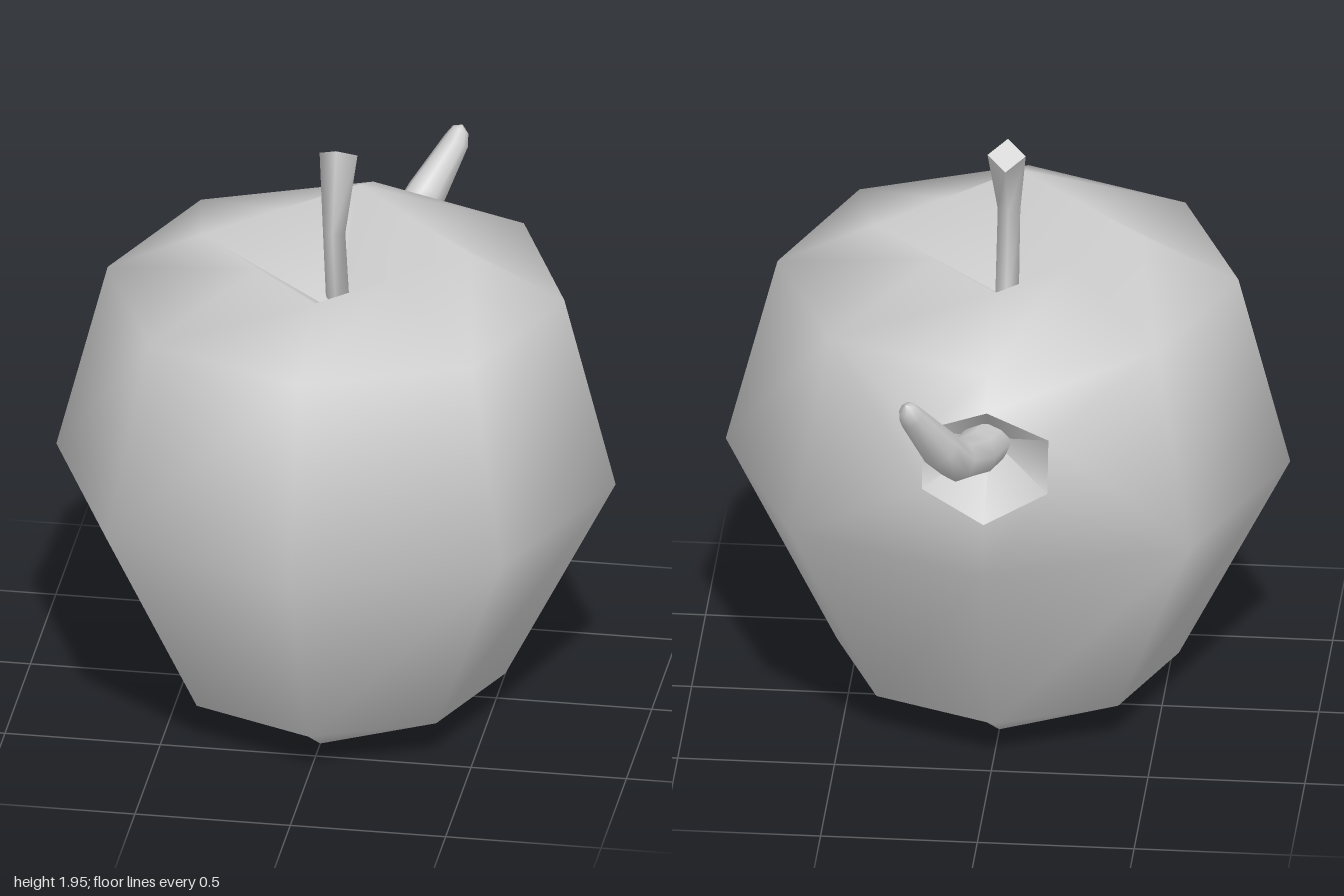
import * as THREE from 'three';

// Joins equal-length loops of points into a smooth skin; skip(i, k) leaves a quad open.
function skin(rings, extra = [], extraFaces = () => [], skip = () => false) {
  const n = rings[0].length;
  const points = [...rings.flat(), ...extra];
  const index = [];
  for (let i = 0; i < rings.length - 1; i++) {
    for (let k = 0; k < n; k++) {
      if (skip(i, k)) continue;
      const a = i * n + k, b = i * n + (k + 1) % n;
      index.push(a, b, b + n, a, b + n, a + n);
    }
  }
  index.push(...extraFaces(n));
  const geometry = new THREE.BufferGeometry().setFromPoints(points);
  geometry.setIndex(index);
  geometry.computeVertexNormals();
  return geometry;
}

// Loop of points around centre c, radius r, facing along t.
function ring(c, r, t, sides) {
  const dir = new THREE.Vector3(...t).normalize();
  const u = new THREE.Vector3(1, 0, 0).addScaledVector(dir, -dir.x).normalize();
  const v = new THREE.Vector3().crossVectors(dir, u);
  return Array.from({ length: sides }, (_, k) => {
    const a = (k / sides) * Math.PI * 2;
    return new THREE.Vector3(...c)
      .addScaledVector(u, r * Math.cos(a))
      .addScaledVector(v, r * Math.sin(a));
  });
}

const CENTRE_Z = 0.1;

// Horizontal apple ring: octagon, or a square whose corners lie on the axes.
function appleRing(r, y, square) {
  return Array.from({ length: 8 }, (_, k) => {
    const a = (k * Math.PI) / 4;
    const s = square && k % 2 ? r * Math.SQRT1_2 : r;
    return new THREE.Vector3(s * Math.sin(a), y, CENTRE_Z + s * Math.cos(a));
  });
}

export function createModel() {
  const group = new THREE.Group();
  const grey = new THREE.MeshStandardMaterial({ color: 0xcccccc });
  grey.name = 'grey';

  const add = (name, geometry) => {
    const mesh = new THREE.Mesh(geometry, grey);
    mesh.name = name;
    group.add(mesh);
  };

  // Hexagonal worm hole in the back, anticlockwise seen from outside
  const hole = [
    [0.2, 1.12, -0.74], [0, 1.02, -0.78], [-0.2, 1.12, -0.74],
    [-0.2, 1.29, -0.7], [0, 1.36, -0.665], [0.2, 1.31, -0.7],
  ].map((p) => new THREE.Vector3(...p));

  // Apple body: dimple, square foot, three octagons, square rim, dip
  const rings = [
    appleRing(0, 0.14),
    appleRing(0.31, 0, true),
    appleRing(0.545, 0.14),
    appleRing(0.9, 0.84),
    appleRing(0.735, 1.48),
    appleRing(0.43, 1.62, true),
    appleRing(0, 1.38),
  ];
  const lower = 3, upper = 4;
  const aroundHole = (n) => {
    const outer = [
      lower * n + 3, lower * n + 4, lower * n + 5,
      upper * n + 5, upper * n + 4, upper * n + 3,
    ];
    const first = rings.length * n;
    return outer.flatMap((a, j) => {
      const m = (j + 1) % 6;
      return [a, outer[m], first + m, a, first + m, first + j];
    });
  };
  add('appleBody', skin(rings, hole, aroundHole,
    (i, k) => i === lower && (k === 3 || k === 4)));

  // Hollow behind the hole
  add('wormHole', skin([hole, hole.map(() => new THREE.Vector3(0, 1.2, -0.52))]));

  // Four-sided bent stem with a flat slanted end
  const top = [0, 1.915, 0.05], topDir = [0, 0.1, -0.07];
  add('stem', skin([
    ring([0, 1.34, 0.05], 0.038, [0, 1, 0.25], 4),
    ring([0, 1.68, 0.137], 0.036, [0, 1, -0.1], 4),
    ring(top, 0.061, topDir, 4),
    ring(top, 0.061, topDir, 4),
    ring(top, 0, topDir, 4),
  ]));

  // Worm curling out of the hole, with a rounded tip
  add('worm', skin([
    ring([-0.01, 1.21, -0.52], 0.075, [0.2, 0.1, -1], 8),
    ring([0.035, 1.23, -0.69], 0.075, [0.35, 0.15, -1], 8),
    ring([0.085, 1.26, -0.8], 0.07, [0.5, 0.5, -1], 8),
    ring([0.135, 1.34, -0.872], 0.064, [0.6, 1, -0.8], 8),
    ring([0.215, 1.485, -0.953], 0.042, [0.5, 1, -0.5], 8),
    ring([0.227, 1.52, -0.966], 0.028, [0.5, 1, -0.5], 8),
    ring([0.232, 1.535, -0.972], 0, [0.5, 1, -0.5], 8),
  ]));

  return group;
}
